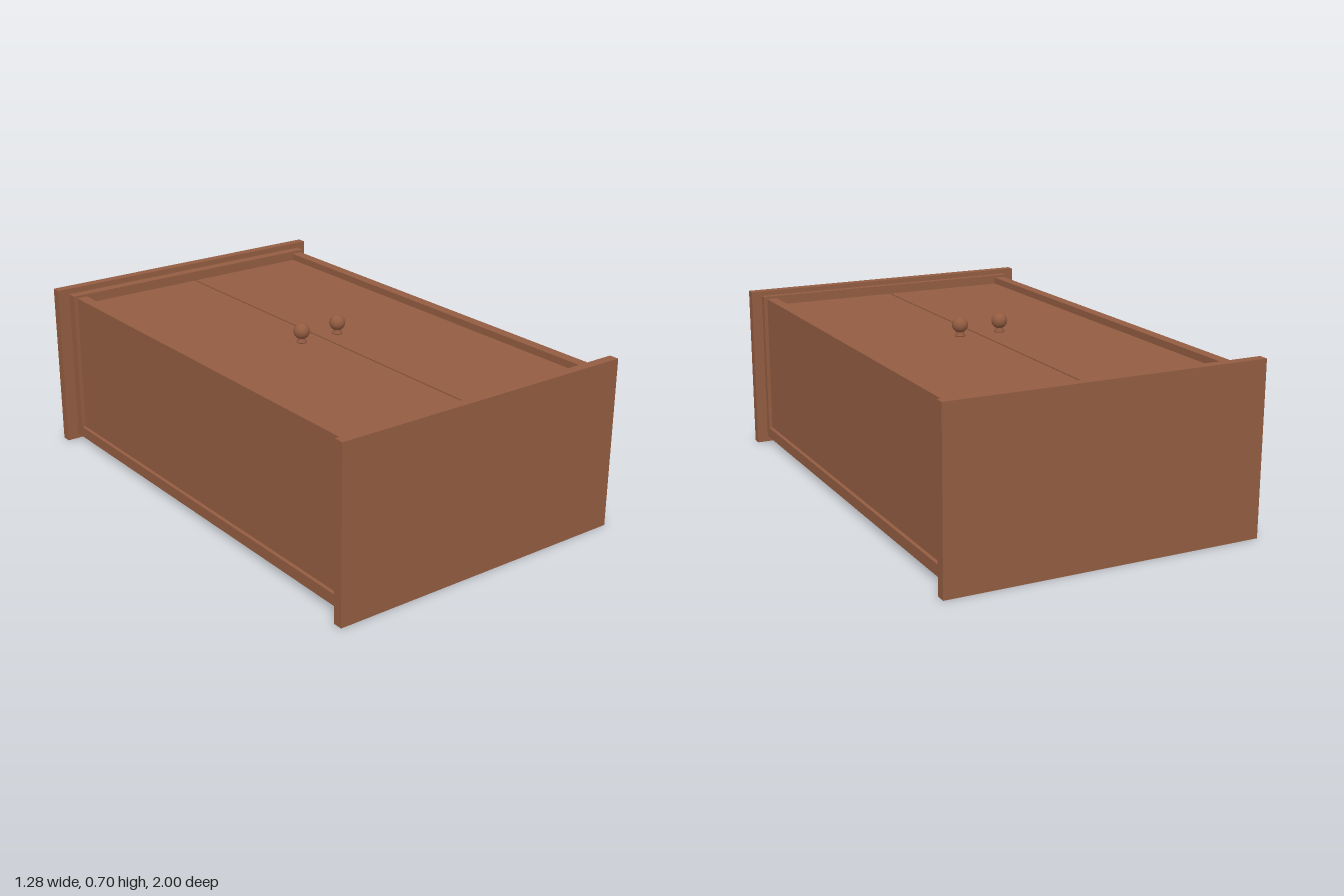
import * as THREE from 'three';

export function createModel() {
  const root = new THREE.Group();
  root.name = 'cabinetLyingOnItsBack';
  const wood = new THREE.MeshStandardMaterial({ color: 0x935c41 });
  wood.name = 'brown wood';

  // Box given by its limits on each axis
  const panel = (name, [x0, x1], [y0, y1], [z0, z1]) => {
    const mesh = new THREE.Mesh(new THREE.BoxGeometry(x1 - x0, y1 - y0, z1 - z0), wood);
    mesh.name = name;
    mesh.position.set((x0 + x1) / 2, (y0 + y1) / 2, (z0 + z1) / 2);
    root.add(mesh);
  };

  // Overhanging end plates
  panel('basePlate', [-0.64, 0.64], [0, 0.685], [0.96, 1]);
  panel('topPlate', [-0.64, 0.64], [0, 0.685], [-1, -0.96]);

  // Back panel and the rails inside each end plate
  panel('backPanel', [-0.595, 0.595], [0.025, 0.07], [-0.957, 0.96]);
  panel('baseRail', [-0.595, 0.595], [0.07, 0.665], [0.933, 0.96]);
  panel('topRail', [-0.595, 0.595], [0.07, 0.665], [-0.95, -0.907]);

  // Sides, standing slightly proud of the doors
  panel('leftSide', [0.535, 0.58], [0.07, 0.655], [-0.907, 0.933]);
  panel('rightSide', [-0.58, -0.535], [0.07, 0.655], [-0.907, 0.933]);

  // Doors with a narrow gap between them
  panel('leftDoor', [0.004, 0.534], [0.59, 0.627], [-0.902, 0.93]);
  panel('rightDoor', [-0.534, -0.004], [0.59, 0.627], [-0.902, 0.93]);

  // Round knobs on short flared stems
  const stemProfile = [[0, 0], [0.021, 0], [0.021, 0.006], [0.015, 0.012], [0.015, 0.03]]
    .map(([r, y]) => new THREE.Vector2(r, y));
  for (const [side, x] of [['left', 0.08], ['right', -0.095]]) {
    const knob = new THREE.Group();
    knob.name = side + 'Knob';
    const ball = new THREE.Mesh(new THREE.SphereGeometry(0.032, 32, 20), wood);
    ball.name = 'knobBall';
    ball.position.y = 0.047;
    const stem = new THREE.Mesh(new THREE.LatheGeometry(stemProfile, 24), wood);
    stem.name = 'knobStem';
    knob.add(ball, stem);
    knob.position.set(x, 0.626, 0.03);
    root.add(knob);
  }
  return root;
}
